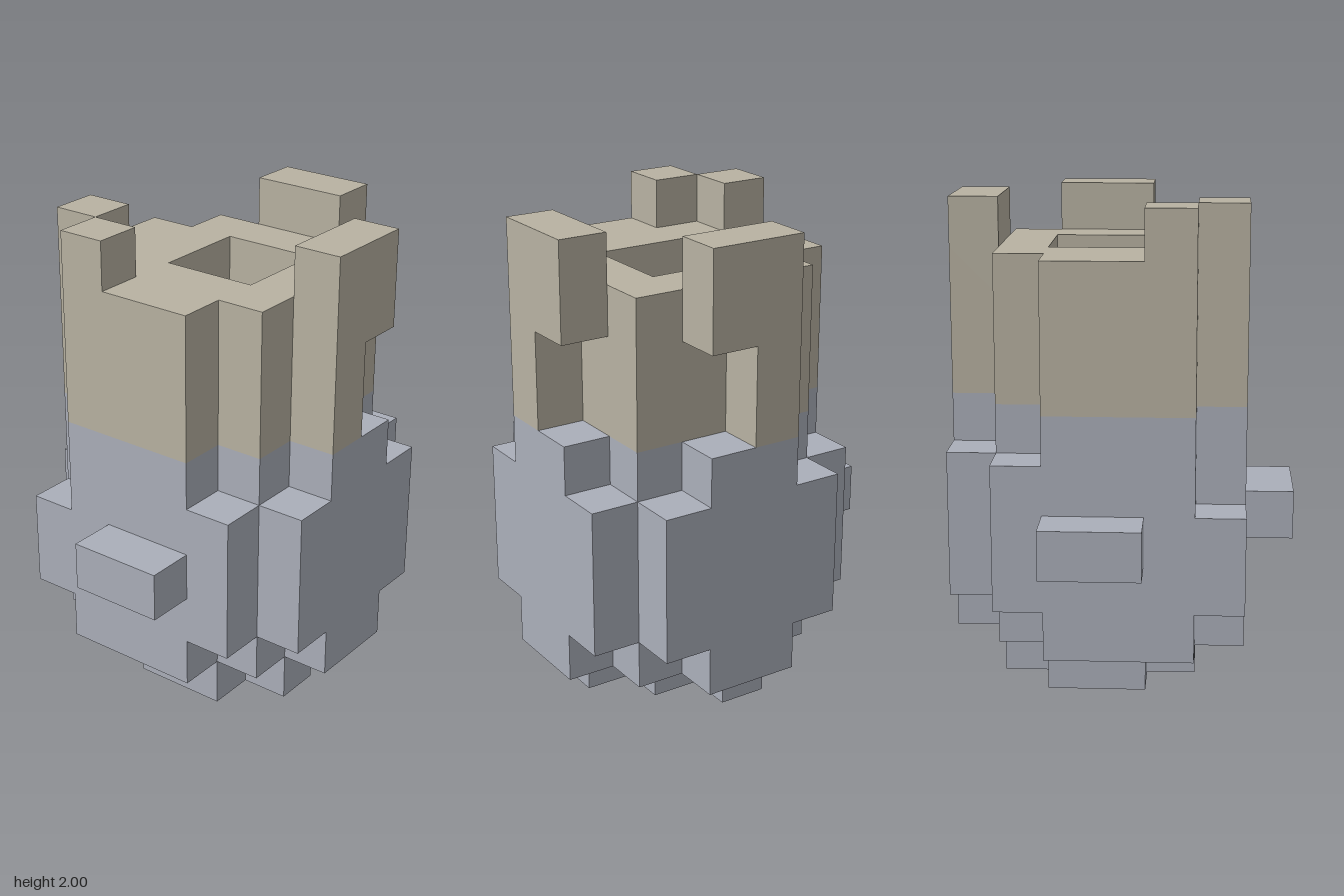
import * as THREE from 'three';

const U = 0.2; // block size
const at = (n) => -0.7 + n * U; // grid line to coordinate

const stone = new THREE.MeshStandardMaterial({ color: 0xabafba });
stone.name = 'blue grey stone';
const sand = new THREE.MeshStandardMaterial({ color: 0xb8b2a2 });
sand.name = 'warm beige stone';

// Stepped outline: one [from, to] span of x grid lines per block row, going back to front
function outline(firstRow, spans) {
  const left = [], right = [];
  spans.forEach(([a, b], n) => {
    for (const k of [firstRow + n, firstRow + n + 1]) {
      left.push([at(a), -at(k)]);
      right.push([at(b), -at(k)]);
    }
  });
  const points = [...left, ...right.reverse()]
    .filter((p, n, all) => n === 0 || p[0] !== all[n - 1][0] || p[1] !== all[n - 1][1])
    .map(([x, y]) => new THREE.Vector2(x, y));
  return new THREE.Shape(points);
}

// Stepped layer between two heights, counted in blocks
function slab(name, material, y0, y1, firstRow, spans, hole) {
  const shape = outline(firstRow, spans);
  if (hole) shape.holes.push(outline(hole.row, hole.spans));
  const geometry = new THREE.ExtrudeGeometry(shape, { depth: (y1 - y0) * U, bevelEnabled: false });
  geometry.rotateX(-Math.PI / 2);
  const mesh = new THREE.Mesh(geometry, material);
  mesh.name = name;
  mesh.position.y = y0 * U;
  return mesh;
}

// Block given by its grid lines
function block(name, material, [x0, x1], [y0, y1], [z0, z1]) {
  const mesh = new THREE.Mesh(
    new THREE.BoxGeometry((x1 - x0) * U, (y1 - y0) * U, (z1 - z0) * U), material);
  mesh.name = name;
  mesh.position.set((at(x0) + at(x1)) / 2, ((y0 + y1) / 2) * U, (at(z0) + at(z1)) / 2);
  return mesh;
}

export function createModel() {
  const model = new THREE.Group();
  model.name = 'blockTower';

  const round = [[3, 5], [2, 6], [1, 7], [1, 7], [1, 6], [2, 5]];
  const notched = [[3, 4], [2, 6], [1, 6], [1, 7], [1, 6], [2, 5]];
  const pit = { row: 2, spans: [[3, 5], [3, 5]] };

  model.add(
    // Rounded grey bowl
    slab('foot', stone, 0, 1, 1, [[3, 4], [2, 5], [2, 6], [3, 5]]),
    slab('lowerBody', stone, 1, 2, 0, round),
    slab('body', stone, 2, 4, 0, [[2, 6], [1, 7], [1, 7], [1, 7], [1, 7], [1, 6]]),
    slab('bodyRim', stone, 4, 5, 0, [[2, 6], [1, 7], [1, 7], [1, 7], [1, 7], [2, 6]]),
    slab('collar', stone, 5, 6, 0, round),
    // Knobs on the front and the right side
    block('frontKnob', stone, [3, 5], [3, 4], [6, 7]),
    block('rightKnob', stone, [0, 1], [3, 4], [2, 4]),
    // Beige upper tower, notched under two of the posts
    slab('notchedWall', sand, 6, 8, 0, notched),
    slab('pitRim', sand, 8, 9, 0, round, pit),
    // Raised posts
    block('backPost', sand, [3, 5], [9, 10], [0, 1]),
    block('leftPost', sand, [6, 7], [9, 10], [2, 4]),
    block('frontPost', sand, [2, 3], [9, 10], [5, 6]),
    block('rightPost', sand, [1, 2], [9, 10], [4, 5]),
  );
  return model;
}
